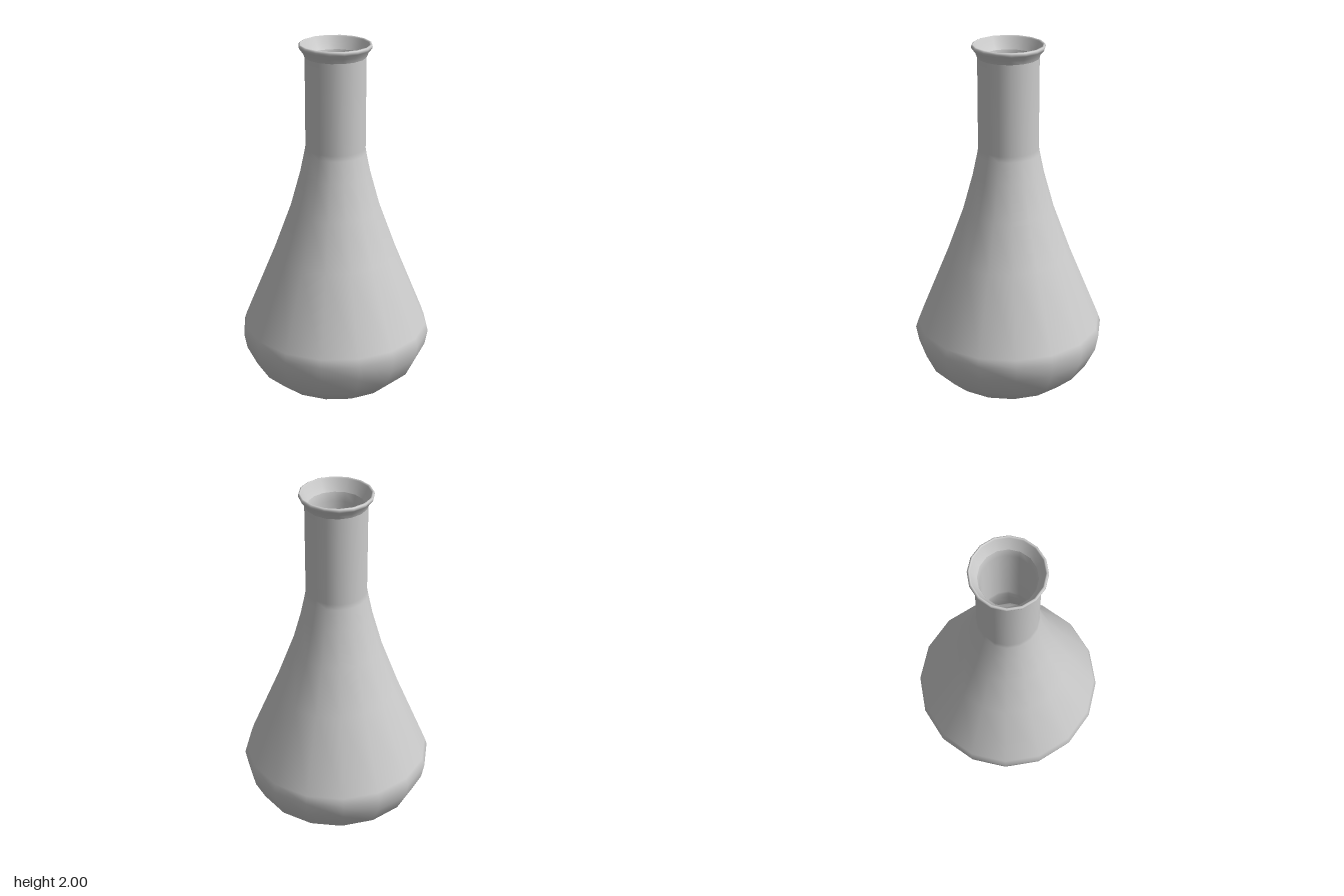
import * as THREE from 'three';

const SIDES = 16;

// Revolves a list of [radius, height] points around the y axis
function revolve(name, points, material) {
  const profile = points.map(([r, y]) => new THREE.Vector2(r, y));
  const mesh = new THREE.Mesh(new THREE.LatheGeometry(profile, SIDES), material);
  mesh.name = name;
  return mesh;
}

export function createModel() {
  const group = new THREE.Group();
  group.name = 'flask';
  const material = new THREE.MeshStandardMaterial({ color: 0xcccccc, side: THREE.DoubleSide });

  // Rounded bottom, conical shoulder and straight neck
  group.add(revolve('outerWall', [
    [0, 0], [0.06, 0.008], [0.205, 0.022], [0.36, 0.067], [0.46, 0.157],
    [0.515, 0.27], [0.531, 0.355], [0.516, 0.4], [0.345, 0.82],
    [0.25, 1.08], [0.195, 1.28], [0.17, 1.4], [0.165, 1.43], [0.165, 1.93],
  ], material));

  // Flared, rounded lip
  group.add(revolve('rim', [
    [0.165, 1.93], [0.175, 1.955], [0.193, 1.977], [0.197, 1.988],
    [0.194, 1.997], [0.187, 2], [0.182, 1.993], [0.17, 1.965], [0.15, 1.93],
  ], material));

  // Inside of the neck and body, down to the floor
  group.add(revolve('innerWall', [
    [0.15, 1.93], [0.139, 1.88], [0.138, 1.43], [0.143, 1.39], [0.168, 1.28],
    [0.223, 1.08], [0.318, 0.82], [0.488, 0.4], [0.503, 0.355], [0.488, 0.28],
    [0.437, 0.175], [0.345, 0.094], [0.2, 0.05], [0, 0.03],
  ], material));

  return group;
}
